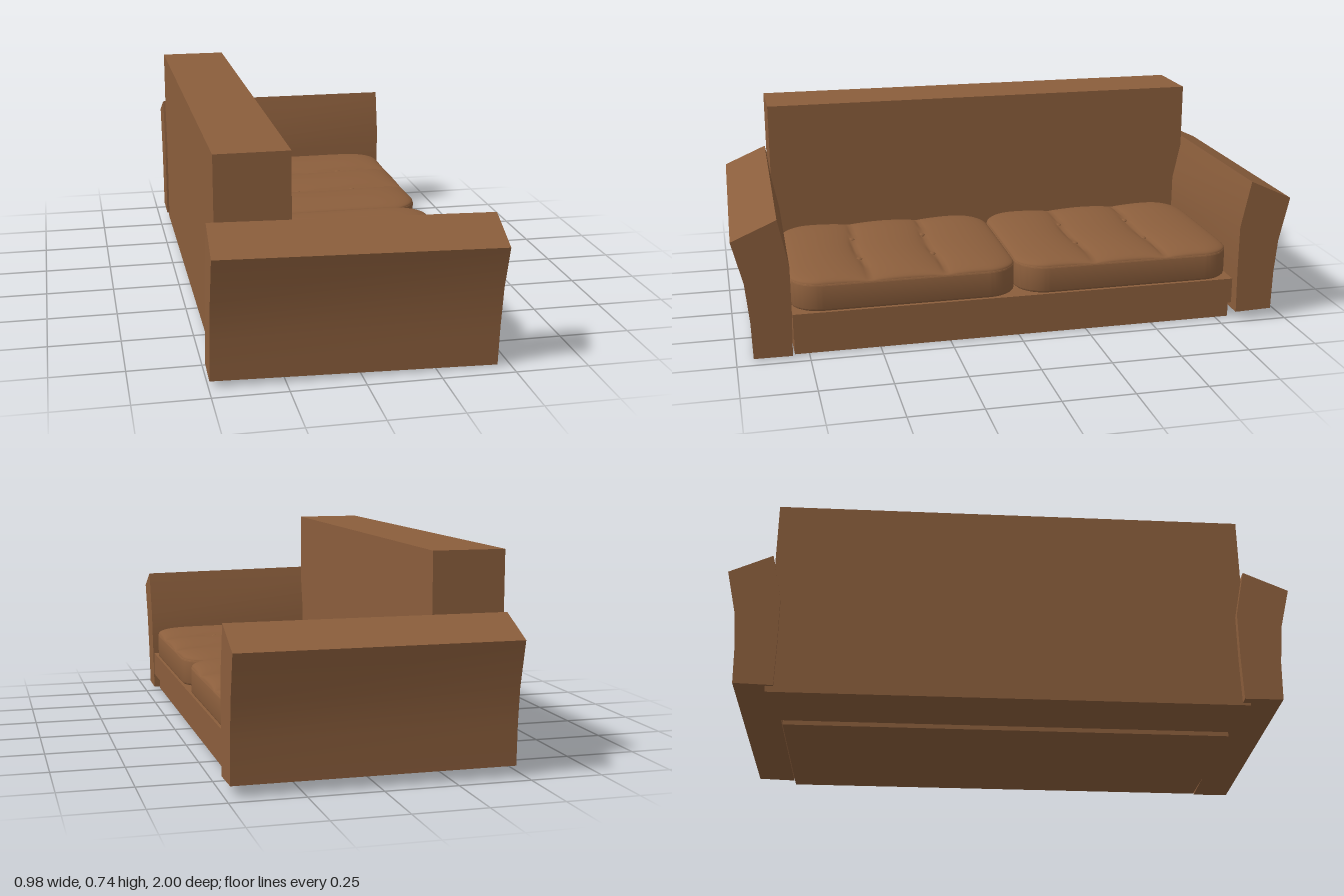
import * as THREE from 'three';
import { toCreasedNormals } from 'three/addons/utils/BufferGeometryUtils.js';

const leather = new THREE.MeshStandardMaterial({ color: 0x8b5e3c });

function add(parent, name, geometry, x = 0, y = 0, z = 0) {
  const mesh = new THREE.Mesh(geometry, leather);
  mesh.name = name;
  mesh.position.set(x, y, z);
  parent.add(mesh);
  return mesh;
}

// Box given by its extents on each axis
function addBox(parent, name, [x0, x1], [y0, y1], [z0, z1]) {
  const box = new THREE.BoxGeometry(x1 - x0, y1 - y0, z1 - z0);
  return add(parent, name, box, (x0 + x1) / 2, (y0 + y1) / 2, (z0 + z1) / 2);
}

// Flared arm: a [z, y] profile swept along x, smooth over its gentle bends
function armGeometry(profile, length) {
  const shape = new THREE.Shape(profile.map(([z, y]) => new THREE.Vector2(-z, y)));
  const geo = new THREE.ExtrudeGeometry(shape, { depth: length, bevelEnabled: false });
  geo.translate(0, 0, -length / 2).rotateY(Math.PI / 2);
  return toCreasedNormals(geo, 0.5);
}

// Seat cushion, centred on x and z, resting on y = 0
const W = 0.325, D = 0.402, R = 0.11, H = 0.1;

// Half width in x at depth z, narrowing at the rounded corners
function halfWidth(z) {
  const d = Math.max(0, Math.abs(z) - (D - R));
  return W - R + Math.sqrt(Math.max(0, R * R - d * d));
}

function cushionBody() {
  const b = 0.008, w = W - b, d = D - b, r = R - b;
  const s = new THREE.Shape();
  s.absarc(w - r, d - r, r, 0, Math.PI / 2);
  s.absarc(-w + r, d - r, r, Math.PI / 2, Math.PI);
  s.absarc(-w + r, -d + r, r, Math.PI, 1.5 * Math.PI);
  s.absarc(w - r, -d + r, r, 1.5 * Math.PI, 2 * Math.PI);
  s.closePath();
  const geo = new THREE.ExtrudeGeometry(s, {
    depth: H - 2 * b, bevelSize: b, bevelThickness: b, bevelSegments: 3, curveSegments: 10,
  });
  geo.translate(0, 0, b).rotateX(-Math.PI / 2);
  return toCreasedNormals(geo, 0.7);
}

// Top surface with three padded puffs between two slightly wavy seams
function cushionTop() {
  const geo = new THREE.PlaneGeometry(2, 2, 36, 96).rotateX(-Math.PI / 2);
  const p = geo.attributes.position;
  for (let i = 0; i < p.count; i++) {
    const a = Math.sin(p.getX(i) * Math.PI / 2);
    const z = D * Math.sin(p.getZ(i) * Math.PI / 2);
    const t = (z / D + 1) / 2;
    const wave = 0.012 * Math.cos(a * 4) * Math.sin(Math.PI * t);
    const puff = Math.pow(Math.abs(Math.sin(3 * Math.PI * (t - wave))), 0.45);
    const edge = Math.sqrt(Math.max(0, 1 - Math.pow(Math.abs(a), 6)));
    p.setXYZ(i, a * halfWidth(z) * 0.995, H - 0.002 + 0.027 * puff * edge, z * 0.995);
  }
  geo.computeVertexNormals();
  return geo;
}

export function createModel() {
  const sofa = new THREE.Group();
  sofa.name = 'sofa';

  // Frame
  addBox(sofa, 'backrest', [-0.46, -0.21], [0.012, 0.737], [-0.84, 0.82]);
  addBox(sofa, 'plinth', [-0.2, 0.435], [0, 0.062], [-0.8, 0.8]);
  addBox(sofa, 'seatRail', [-0.195, 0.457], [0.062, 0.155], [-0.803, 0.803]);

  // Arms, the left one set slightly askew
  const leftArm = add(sofa, 'leftArm', armGeometry([
    [0.80, 0.013], [0.933, 0.013], [0.938, 0.15], [0.952, 0.29], [0.99, 0.44],
    [0.833, 0.509], [0.798, 0.34], [0.797, 0.18],
  ], 0.952), -0.004);
  leftArm.rotation.set(0, -0.018, -0.018);
  add(sofa, 'rightArm', armGeometry([
    [-0.812, 0.033], [-0.948, 0.037], [-0.952, 0.18], [-0.963, 0.3], [-0.999, 0.46],
    [-0.847, 0.53], [-0.811, 0.36], [-0.81, 0.2],
  ], 0.952), 0.007);

  // Two tufted cushions
  const body = cushionBody(), top = cushionTop();
  const button = new THREE.SphereGeometry(0.013, 12, 8).scale(1, 0.6, 1);
  for (const side of [1, -1]) {
    const cushion = new THREE.Group();
    cushion.name = side > 0 ? 'leftCushion' : 'rightCushion';
    cushion.position.set(0.127, 0.156, side * 0.403);
    add(cushion, 'cushionBody', body);
    add(cushion, 'cushionTop', top);
    for (const x of [-0.112, 0.112])
      for (const z of [-D / 3, D / 3]) add(cushion, 'button', button, x, H + 0.004, z + 0.008);
    sofa.add(cushion);
  }
  return sofa;
}
